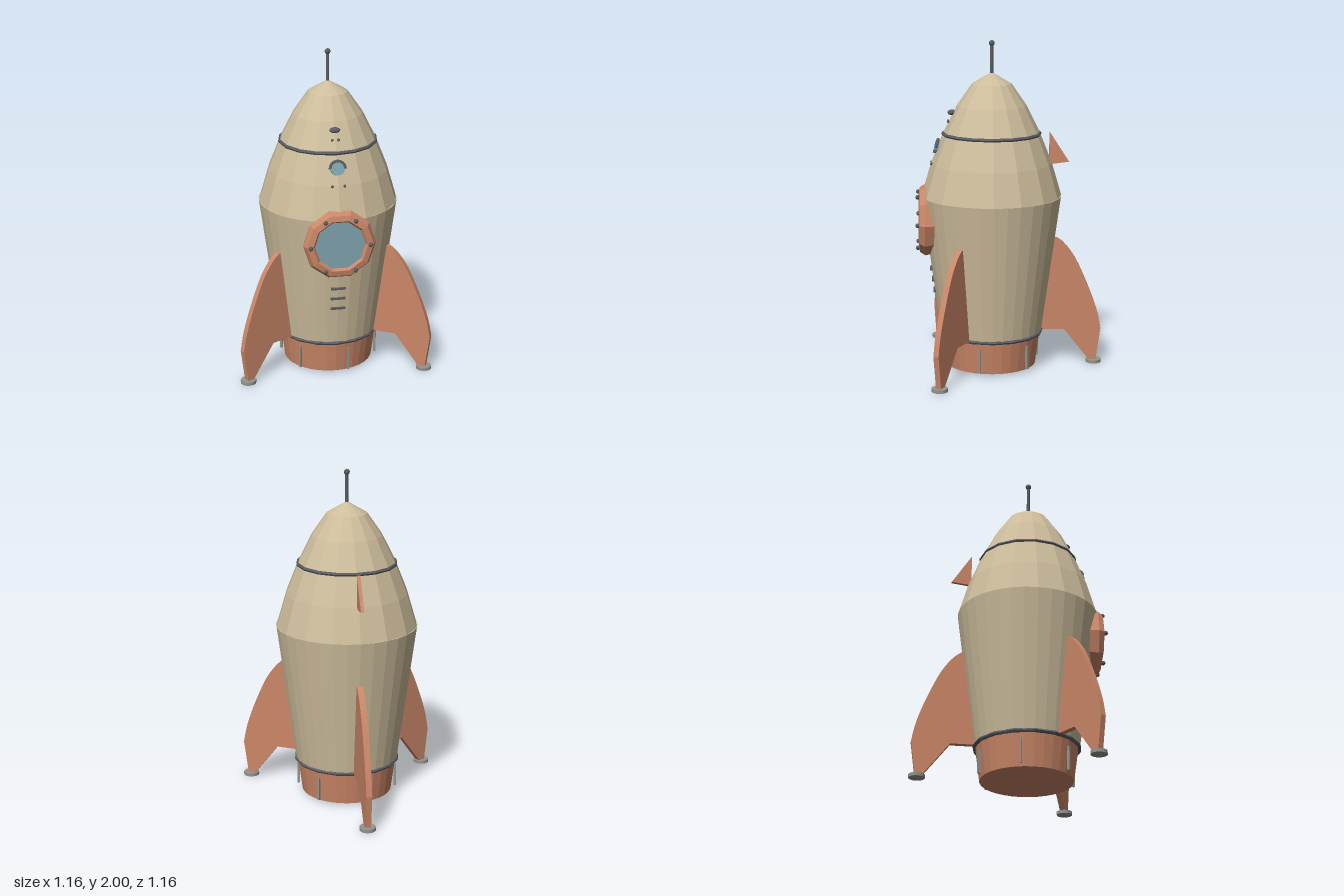
import * as THREE from 'three';

const paint = (color) => new THREE.MeshStandardMaterial({ color, flatShading: true, side: THREE.DoubleSide });
const V2 = (p) => new THREE.Vector2(p[0], p[1]);
const DEG = Math.PI / 180;

export function createModel() {
  const tan = paint(0xcdbd9c), copper = paint(0xcb8768), dark = paint(0x5a5c62);
  const metal = paint(0x94948e), glass = paint(0x7fa3ad);

  const model = new THREE.Group();
  const rocket = new THREE.Group();
  rocket.name = 'rocket';
  // the door side points diagonally between +x and +z
  rocket.rotation.y = 45 * DEG;
  rocket.position.set(-0.085, 0, -0.085);
  model.add(rocket);

  const add = (name, geometry, material, x = 0, y = 0, z = 0) => {
    const mesh = new THREE.Mesh(geometry, material);
    mesh.name = name;
    mesh.position.set(x, y, z);
    rocket.add(mesh);
    return mesh;
  };

  // hull: engine base, tapered lower body, faceted nose
  add('engineBase', new THREE.CylinderGeometry(0.302, 0.275, 0.205, 32), copper, 0, 0.1125, 0);
  add('lowerBody', new THREE.CylinderGeometry(0.425, 0.31, 0.85, 32), tan, 0, 0.637, 0);
  const noseProfile = [[0.425, 1.06], [0.366, 1.26], [0.29, 1.45], [0.21, 1.61], [0.12, 1.74], [0, 1.81]];
  add('nose', new THREE.LatheGeometry(noseProfile.map(V2), 16), tan);

  // trim rings
  for (const [name, r, y] of [['noseRing', 0.291, 1.44], ['baseRing', 0.31, 0.215]]) {
    add(name, new THREE.TorusGeometry(r, 0.012, 6, 16), dark, 0, y, 0).rotation.x = Math.PI / 2;
  }

  // antenna
  add('antennaRod', new THREE.CylinderGeometry(0.01, 0.01, 0.19, 8), dark, 0, 1.89, 0);
  add('antennaBall', new THREE.SphereGeometry(0.018, 8, 6), dark, 0, 1.982, 0);

  // flat plates standing out radially from the hull
  const plate = (name, shape, thickness, azimuth) => {
    const g = new THREE.ExtrudeGeometry(shape, { depth: thickness, bevelEnabled: false, curveSegments: 3 });
    g.translate(0, 0, -thickness / 2);
    add(name, g, copper).rotation.y = (azimuth - 90) * DEG;
  };

  // three landing fins with foot pads
  const fin = new THREE.Shape([[0.27, 0.215], [0.452, 0.215], [0.607, 0.018], [0.65, 0.018], [0.678, 0.22]].map(V2));
  fin.splineThru([[0.655, 0.33], [0.606, 0.47], [0.523, 0.654], [0.45, 0.755], [0.4, 0.795]].map(V2));
  fin.lineTo(0.34, 0.795);
  for (const a of [60, 180, 300]) {
    plate('landingFin', fin, 0.035, a);
    add('footPad', new THREE.CylinderGeometry(0.048, 0.048, 0.02, 16), metal,
      0.637 * Math.sin(a * DEG), 0.01, 0.637 * Math.cos(a * DEG));
  }

  // small dorsal fin on the back
  plate('dorsalFin', new THREE.Shape([[0.35, 1.25], [0.47, 1.265], [0.35, 1.45]].map(V2)), 0.02, 180);

  // ribs around the engine base
  for (let i = 0; i < 6; i++) {
    const a = (15 + 60 * i) * DEG;
    add('baseRib', new THREE.BoxGeometry(0.012, 0.145, 0.016), metal,
      0.298 * Math.sin(a), 0.095, 0.298 * Math.cos(a)).rotation.y = a;
  }

  // round door: ten-sided frame, glass and bolts
  const doorY = 0.91;
  const frame = [[0.205, 0.34], [0.22, 0.402], [0.2, 0.435], [0.165, 0.442], [0.152, 0.425], [0.152, 0.34]];
  add('doorFrame', new THREE.LatheGeometry(frame.map(V2), 10, Math.PI / 2), copper, 0, doorY, 0).rotation.x = Math.PI / 2;
  add('doorGlass', new THREE.CircleGeometry(0.156, 20), glass, 0, doorY, 0.424);
  for (let i = 0; i < 6; i++) {
    const a = i * 60 * DEG;
    add('doorBolt', new THREE.SphereGeometry(0.014, 8, 6), dark,
      0.18 * Math.cos(a), doorY + 0.18 * Math.sin(a), 0.446);
  }

  // small porthole with a hooded rim, tilted with the hull
  const tilt = -19 * DEG;
  const pane = add('portholeGlass', new THREE.CylinderGeometry(0.043, 0.043, 0.03, 16), glass, 0, 1.36, 0.327);
  pane.rotation.x = Math.PI / 2 + tilt;
  add('portholeHood', new THREE.TorusGeometry(0.044, 0.01, 6, 12, Math.PI), dark, 0, 1.36, 0.336).rotation.x = tilt;

  // lamp and rivets on the nose
  add('noseLamp', new THREE.SphereGeometry(0.033, 10, 8), dark, 0, 1.567, 0.238).scale.set(1, 0.5, 0.85);
  for (const side of [-1, 1]) {
    add('portholeRivet', new THREE.SphereGeometry(0.009, 6, 5), dark, side * 0.037, 1.26, 0.363);
    add('lampRivet', new THREE.SphereGeometry(0.009, 6, 5), dark, side * 0.019, 1.513, 0.261);
  }

  // steps below the door
  for (let i = 0; i < 3; i++) {
    add('step', new THREE.BoxGeometry(0.09, 0.013, 0.024), dark, 0, 0.606 - 0.069 * i, 0.362 - 0.01 * i);
  }

  return model;
}
